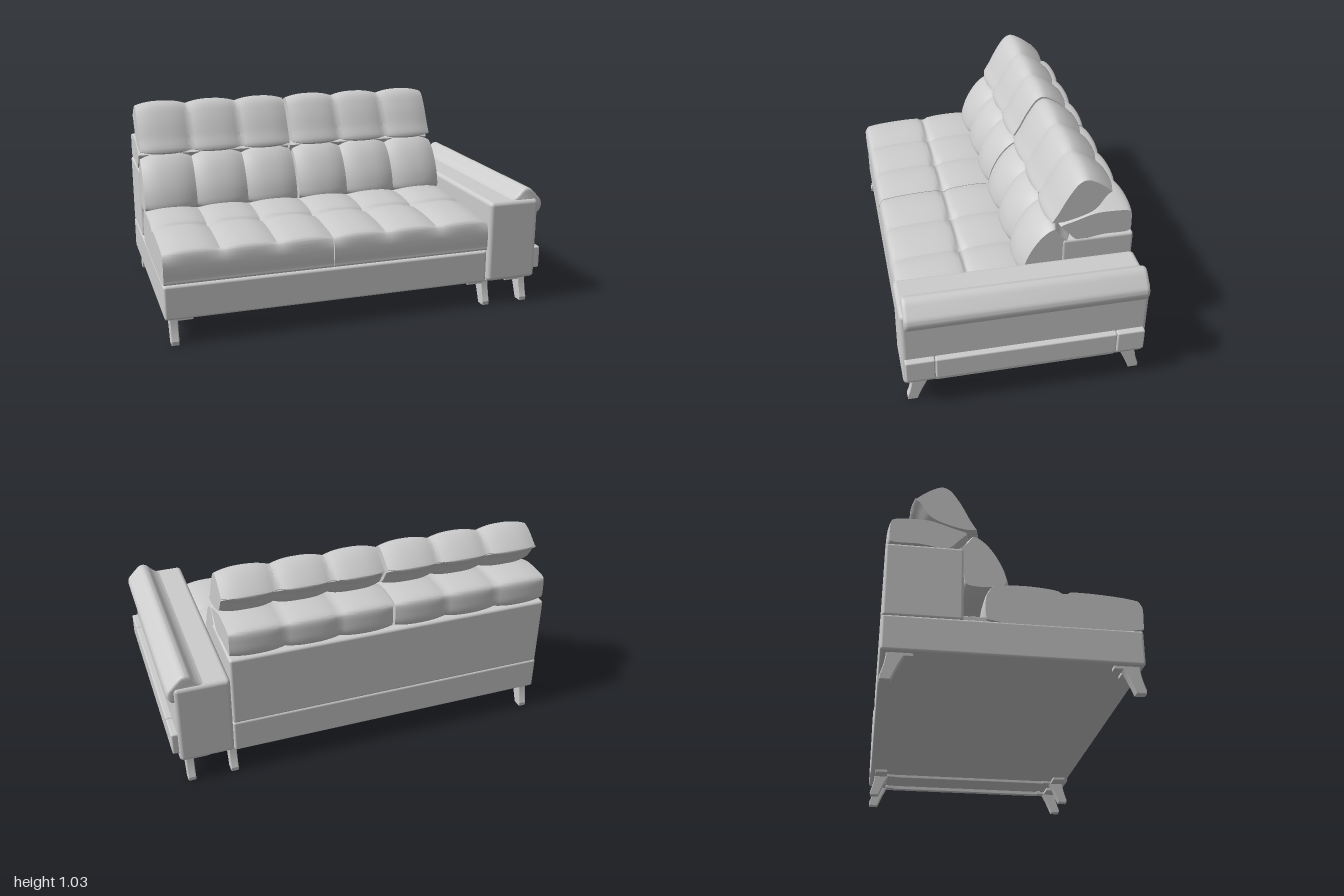
import * as THREE from 'three';
import { toCreasedNormals } from 'three/addons/utils/BufferGeometryUtils.js';
import { RoundedBoxGeometry } from 'three/addons/geometries/RoundedBoxGeometry.js';

const upholstery = new THREE.MeshStandardMaterial({ color: 0xcccccc });
upholstery.name = 'light grey upholstery';

function add(parent, name, geometry) {
  const mesh = new THREE.Mesh(geometry, upholstery);
  mesh.name = name;
  parent.add(mesh);
  return mesh;
}

// Rounded box given by its limits on each axis
function block(parent, name, [x0, x1], [y0, y1], [z0, z1], r = 0.01) {
  const m = add(parent, name, new RoundedBoxGeometry(x1 - x0, y1 - y0, z1 - z0, 3, r));
  m.position.set((x0 + x1) / 2, (y0 + y1) / 2, (z0 + z1) / 2);
  return m;
}

// Cushion swept along x from a closed (z, y) outline; it is pulled in at the seams between columns
function quilt(outline, x0, x1, columns, depth, weight = () => 1) {
  const curve = new THREE.CatmullRomCurve3(outline.map(([z, y]) => new THREE.Vector3(z, y, 0)), true);
  let loop = curve.getPoints(outline.length * 5).slice(0, -1).map(p => new THREE.Vector2(p.x, p.y));
  if (THREE.ShapeUtils.area(loop) < 0) loop.reverse();
  const n = loop.length;
  const normals = loop.map((p, j) => {
    const t = loop[(j + 1) % n].clone().sub(loop[(j + n - 1) % n]).normalize();
    return new THREE.Vector2(t.y, -t.x);
  });
  const steps = 12, rings = columns * steps, pos = [], idx = [];
  for (let i = 0; i <= rings; i++) {
    const t = (i % steps) / steps;
    const pull = depth * Math.pow(Math.abs(2 * t - 1), 2.4);
    loop.forEach((p, j) => {
      const d = pull * weight(p.x, p.y);
      pos.push(x0 + (x1 - x0) * i / rings, p.y - normals[j].y * d, p.x - normals[j].x * d);
    });
  }
  for (let i = 0; i < rings; i++) {
    for (let j = 0; j < n; j++) {
      const a = i * n + j, b = i * n + (j + 1) % n;
      idx.push(a, a + n, b, b, a + n, b + n);
    }
  }
  for (const [a, b, c] of THREE.ShapeUtils.triangulateShape(loop, [])) {
    idx.push(a, b, c, rings * n + a, rings * n + c, rings * n + b);
  }
  const g = new THREE.BufferGeometry();
  g.setAttribute('position', new THREE.Float32BufferAttribute(pos, 3));
  g.setIndex(idx);
  return toCreasedNormals(g, 0.6);
}

const seatOutline = [
  [0.582, 0.31], [0.585, 0.33], [0.585, 0.44], [0.575, 0.468], [0.55, 0.48], [0.4, 0.497], [0.245, 0.498],
  [0.222, 0.488], [0.2, 0.5], [0.05, 0.516], [-0.1, 0.505], [-0.13, 0.49], [-0.14, 0.33], [-0.13, 0.31],
];
const lumbarOutline = [
  [-0.02, 0.5], [-0.03, 0.57], [-0.065, 0.65], [-0.12, 0.725], [-0.175, 0.765], [-0.21, 0.768],
  [-0.25, 0.72], [-0.305, 0.66], [-0.28, 0.58], [-0.25, 0.47], [-0.2, 0.45], [-0.05, 0.465],
];
const headOutline = [
  [-0.165, 0.775], [-0.2, 0.85], [-0.25, 0.945], [-0.3, 1.01], [-0.345, 1.028], [-0.4, 1.01],
  [-0.48, 0.95], [-0.492, 0.935], [-0.46, 0.89], [-0.415, 0.825], [-0.35, 0.79], [-0.22, 0.76],
];
const rollOutline = [
  [-0.215, 0.76], [-0.3, 0.795], [-0.4, 0.825], [-0.48, 0.828], [-0.57, 0.82], [-0.592, 0.805],
  [-0.6, 0.75], [-0.597, 0.69], [-0.58, 0.672], [-0.45, 0.668], [-0.31, 0.655], [-0.26, 0.7],
];

// Splayed foot: (z, y) side outline, extruded across its width
function leg(parent, name, x, dir, inward) {
  const s = new THREE.Shape();
  s.moveTo(0.535, 0);
  s.lineTo(0.583, 0);
  s.lineTo(0.585, 0.02);
  s.quadraticCurveTo(0.565, 0.07, 0.56, 0.125);
  s.lineTo(0.475, 0.125);
  s.quadraticCurveTo(0.5, 0.09, 0.535, 0);
  const g = new THREE.ExtrudeGeometry(s, {
    depth: 0.032, bevelThickness: 0.004, bevelSize: 0.004, bevelOffset: -0.004, bevelSegments: 2,
  });
  g.translate(0, 0, -0.016);
  g.rotateY(-Math.PI / 2);
  const group = new THREE.Group();
  group.name = name;
  add(group, 'foot', g);
  block(group, 'mountingPlate', inward > 0 ? [-0.02, 0.095] : [-0.1, 0.02], [0.115, 0.133], [0.49, 0.56], 0.003);
  block(group, 'mountingTongue', [-0.02, 0.02], [0.115, 0.133], [0.44, 0.53], 0.003);
  if (dir < 0) group.rotation.y = Math.PI;
  if (dir < 0) group.children.forEach(c => { if (c.name === 'mountingPlate') c.position.x *= -1; });
  group.position.set(x, 0, dir < 0 ? -0.015 : 0);
  parent.add(group);
}

export function createModel() {
  const sofa = new THREE.Group();
  sofa.name = 'sofa';

  // Base and back shell
  block(sofa, 'baseRail', [-1, 0.69], [0.13, 0.302], [-0.602, 0.582], 0.012);
  block(sofa, 'backShell', [-0.998, 0.69], [0.298, 0.672], [-0.602, -0.24], 0.014);
  block(sofa, 'seatDeck', [-0.98, 0.68], [0.295, 0.33], [-0.3, 0.56], 0.004);

  // Two three-column sections: seat, lower back, headrest and rear roll
  const seatTop = (z, y) => THREE.MathUtils.clamp((y - 0.42) / 0.06, 0, 1);
  [['right', -0.998, -0.157], ['left', -0.153, 0.688]].forEach(([side, x0, x1]) => {
    add(sofa, side + 'SeatCushion', quilt(seatOutline, x0, x1, 3, 0.022, seatTop));
    add(sofa, side + 'BackCushion', quilt(lumbarOutline, x0 + 0.004, x1 - 0.004, 3, 0.028));
    add(sofa, side + 'Headrest', quilt(headOutline, x0 + 0.008, x1 - 0.006, 3, 0.02));
    add(sofa, side + 'RearRoll', quilt(rollOutline, x0 + 0.004, x1 - 0.004, 3, 0.014));
  });

  // Armrest on the left side
  const arm = new THREE.Group();
  arm.name = 'armrest';
  sofa.add(arm);
  block(arm, 'armBody', [0.69, 0.967], [0.135, 0.568], [-0.607, 0.602], 0.022);

  // Padded roll lying over the outer top edge
  const pad = new THREE.Shape();
  pad.moveTo(0.815, 0.55);
  pad.lineTo(0.82, 0.57);
  pad.quadraticCurveTo(0.85, 0.58, 0.875, 0.612);
  pad.quadraticCurveTo(0.905, 0.645, 0.94, 0.615);
  pad.quadraticCurveTo(0.97, 0.585, 0.99, 0.562);
  pad.quadraticCurveTo(1.008, 0.535, 0.99, 0.5);
  pad.quadraticCurveTo(0.98, 0.482, 0.955, 0.485);
  pad.lineTo(0.94, 0.54);
  pad.closePath();
  const padGeo = new THREE.ExtrudeGeometry(pad, {
    depth: 1.14, curveSegments: 8, bevelThickness: 0.02, bevelSize: 0.014, bevelOffset: -0.014, bevelSegments: 4,
  });
  padGeo.translate(0, 0, -0.575);
  add(arm, 'armPad', toCreasedNormals(padGeo, 0.6));

  // Outer side band in three pieces
  [[-0.592, -0.452], [-0.45, 0.446], [0.448, 0.592]].forEach(z =>
    block(arm, 'sideBand', [0.95, 0.998], [0.182, 0.3], z, 0.008));

  // Support bars under the arm
  [0.7, 0.925].forEach(x => block(sofa, 'supportBar', [x - 0.015, x + 0.015], [0.115, 0.14], [-0.46, 0.44], 0.003));

  // Legs
  [['right', -0.955, 1], ['middle', 0.695, -1], ['left', 0.915, -1]].forEach(([side, x, inward]) => {
    leg(sofa, side + 'FrontLeg', x, 1, inward);
    leg(sofa, side + 'BackLeg', x, -1, inward);
  });
  return sofa;
}
